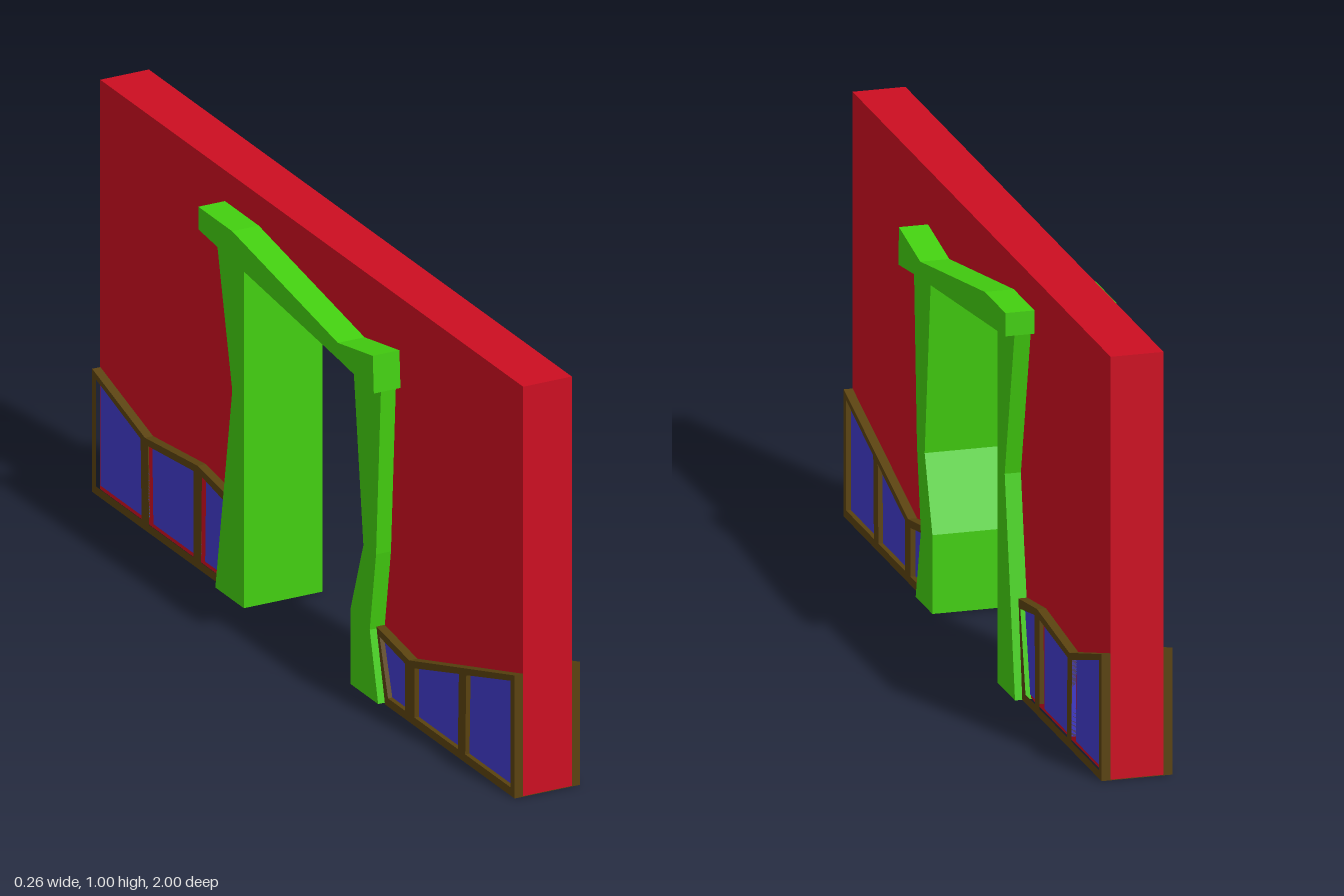
import * as THREE from 'three';

const paint = (name, color) => {
  const m = new THREE.MeshStandardMaterial({ color });
  m.name = name;
  return m;
};

// Side profile of [z, y] points, extruded evenly across x
function slab(name, points, halfWidth, material, holes = []) {
  const toVectors = (list) => list.map(([z, y]) => new THREE.Vector2(z, y));
  const shape = new THREE.Shape(toVectors(points));
  shape.holes = holes.map((h) => new THREE.Path(toVectors(h)));
  const geometry = new THREE.ExtrudeGeometry(shape, { depth: halfWidth * 2, bevelEnabled: false });
  geometry.translate(0, 0, -halfWidth);
  geometry.rotateY(-Math.PI / 2);
  const mesh = new THREE.Mesh(geometry, material);
  mesh.name = name;
  return mesh;
}

export function createModel() {
  const red = paint('red wall', 0xcc0e21);
  const green = paint('green trim', 0x43cf10);
  const brown = paint('brown wood', 0x5a420f);
  const blue = paint('blue panel', 0x413acb);
  const model = new THREE.Group();
  model.name = 'wallWithDoorway';

  // Wall; the edges of its opening stay hidden inside the trim
  model.add(slab('wall', [
    [1, 0.002], [1, 1], [-1, 1], [-1, 0.002], [-0.37, 0.002], [-0.28, 0.4], [-0.28, 0.88],
    [0.25, 0.82], [0.33, 0.81], [0.345, 0.365], [0.3, 0.18], [0.3, 0.002],
  ], 0.062, red));

  // Crooked door frame
  model.add(slab('frontPost', [
    [0.385, 0.004], [0.345, 0.17], [0.375, 0.365], [0.4, 0.81],
    [0.265, 0.81], [0.315, 0.365], [0.255, 0.19], [0.255, 0.004],
  ], 0.1, green));
  model.add(slab('backPost', [
    [-0.25, 0], [-0.25, 0.87], [-0.385, 0.88], [-0.305, 0.51], [-0.385, 0],
  ], 0.1, green));
  model.add(slab('lintel', [
    [0.415, 0.87], [0.25, 0.84], [-0.25, 0.925], [-0.41, 0.925],
    [-0.41, 0.87], [0.26, 0.8], [0.42, 0.78],
  ], 0.13, green));

  // Wainscot on each side of the doorway, with recessed panels
  const wainscots = [
    {
      name: 'frontWainscot',
      outline: [[0.999, 0], [0.999, 0.3], [0.5, 0.15], [0.345, 0.175], [0.385, 0]],
      panels: [
        [[0.98, 0.02], [0.98, 0.28], [0.77, 0.215], [0.765, 0.02]],
        [[0.73, 0.02], [0.735, 0.205], [0.525, 0.14], [0.525, 0.02]],
        [[0.48, 0.02], [0.48, 0.135], [0.36, 0.155], [0.4, 0.02]],
      ],
    },
    {
      name: 'backWainscot',
      outline: [[-0.999, 0], [-0.999, 0.3], [-0.75, 0.225], [-0.5, 0.25], [-0.355, 0.23], [-0.385, 0]],
      panels: [
        [[-0.98, 0.02], [-0.98, 0.28], [-0.77, 0.215], [-0.765, 0.02]],
        [[-0.73, 0.02], [-0.735, 0.21], [-0.52, 0.23], [-0.52, 0.02]],
        [[-0.485, 0.02], [-0.48, 0.23], [-0.37, 0.21], [-0.41, 0.02]],
      ],
    },
  ];
  for (const { name, outline, panels } of wainscots) {
    const group = new THREE.Group();
    group.name = name;
    group.add(slab('woodFrame', outline, 0.083, brown, panels));
    panels.forEach((p, i) => group.add(slab(`panel${i + 1}`, p, 0.072, blue)));
    model.add(group);
  }
  return model;
}
